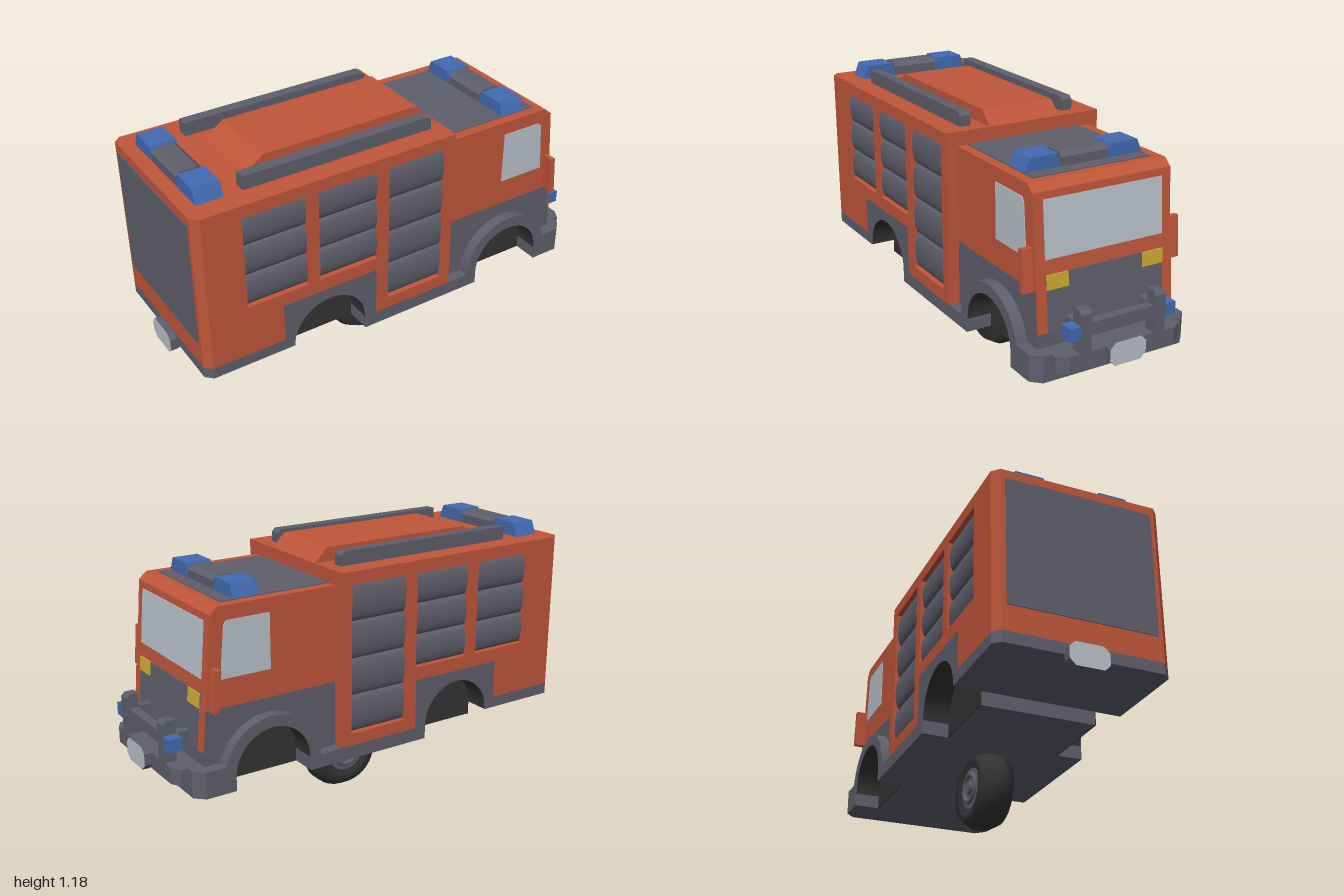
import * as THREE from 'three';

const mat = (name, color, side = THREE.FrontSide) => {
  const m = new THREE.MeshStandardMaterial({ color, side });
  m.name = name;
  return m;
};

export function createModel() {
  const root = new THREE.Group();
  root.name = 'fireTruck';
  const orange = mat('orange paint', 0xc0563a);
  const grey = mat('slate grey', 0x5f5f6d);
  const pale = mat('pale glass', 0xb9c2ca);
  const blue = mat('signal blue', 0x426bb2);
  const yellow = mat('headlight yellow', 0xcdaa34);
  const dark = mat('rubber black', 0x343434, THREE.DoubleSide);

  const add = (name, geo, material, parent = root) => {
    const m = new THREE.Mesh(geo, material);
    m.name = name;
    parent.add(m);
    return m;
  };
  // box given by its limits
  const box = (name, material, x0, x1, y0, y1, z0, z1) => {
    const g = new THREE.BoxGeometry(x1 - x0, y1 - y0, Math.abs(z1 - z0));
    g.translate((x0 + x1) / 2, (y0 + y1) / 2, (z0 + z1) / 2);
    return add(name, g, material);
  };
  const poly = (pts) => new THREE.Shape(pts.map((p) => new THREE.Vector2(p[0], p[1])));
  // side profile (x, y) extruded between two z values
  const slab = (name, material, shape, z0, z1) => {
    const g = new THREE.ExtrudeGeometry(shape, { depth: Math.abs(z1 - z0), bevelEnabled: false, curveSegments: 20 });
    g.translate(0, 0, Math.min(z0, z1));
    return add(name, g, material);
  };
  // half plan outline (x, z) mirrored in z and extruded between two heights
  const plan = (name, material, half, y0, y1) => {
    const pts = [...half, ...half.map(([x, z]) => [x, -z]).reverse()];
    const g = new THREE.ExtrudeGeometry(poly(pts), { depth: y1 - y0, bevelEnabled: false });
    g.rotateX(-Math.PI / 2).translate(0, y0, 0);
    return add(name, g, material);
  };

  // equipment body: core with chamfered rear corners
  const rear = [[-0.94, 0.34], [-0.94, 0.37], [-0.97, 0.34]];
  plan('bodyCore', orange, [[0.23, 0.34], ...rear], 0.585, 1.12);
  plan('bodyRearLower', orange, [[-0.61, 0.34], ...rear], 0.41, 0.585);
  box('bodyFrontLower', orange, -0.16, 0.23, 0.36, 0.585, -0.34, 0.34);
  plan('rearSill', grey, [[-0.61, 0.37], [-0.94, 0.37], [-0.97, 0.34]], 0.36, 0.41);
  box('rearDoor', grey, -0.974, -0.968, 0.52, 1.08, -0.32, 0.32);

  // chassis between the wheel wells
  box('chassisRear', grey, -0.62, -0.565, 0.36, 0.59, -0.25, 0.25);
  box('chassis', grey, -0.565, 0.23, 0.30, 0.59, -0.25, 0.25);
  slab('cabBase', grey, poly([[0.23, 0.30], [0.85, 0.30], [0.85, 0.47], [0.834, 0.645], [0.23, 0.645]]), -0.25, 0.25);

  const shutters = [[-0.77, -0.49, 0.645, 3], [-0.435, -0.155, 0.645, 3], [-0.10, 0.18, 0.415, 4]];
  const archCut = (shape, cx) => shape.absarc(cx, 0.36, 0.175, Math.PI, 0, true);

  for (const s of [1, -1]) {
    // side panel with shutter openings
    const panel = poly([[-0.94, 0.41], [-0.61, 0.41], [-0.61, 0.585], [-0.16, 0.585], [-0.16, 0.36],
      [0.23, 0.36], [0.23, 1.12], [-0.94, 1.12]]);
    for (const [x0, x1, y0] of shutters) {
      panel.holes.push(new THREE.Path([[x0, y0], [x0, 1.065], [x1, 1.065], [x1, y0]].map((p) => new THREE.Vector2(...p))));
    }
    slab('sidePanel', orange, panel, s * 0.34, s * 0.37);

    // rounded shutter slats
    for (const [x0, x1, y0, n] of shutters) {
      box('shutterBack', grey, x0, x1, y0, 1.065, s * 0.335, s * 0.343);
      const h = (1.065 - y0) / n;
      for (let i = 0; i < n; i++) {
        const g = new THREE.CylinderGeometry(1, 1, x1 - x0, 24).rotateZ(Math.PI / 2);
        g.scale(1, h / 2, 0.022).translate((x0 + x1) / 2, y0 + h * (i + 0.5), s * 0.342);
        add('shutterSlat', g, grey);
      }
    }

    // rear fender with arch, running on as the sill
    const fender = new THREE.Shape();
    fender.moveTo(-0.61, 0.36).lineTo(-0.565, 0.36);
    archCut(fender, -0.39);
    fender.lineTo(-0.215, 0.30).lineTo(0.23, 0.30).lineTo(0.23, 0.36).lineTo(-0.16, 0.36)
      .lineTo(-0.16, 0.585).lineTo(-0.61, 0.585);
    slab('rearFender', grey, fender, s * 0.25, s * 0.37);

    // lower cab side with arch
    const low = new THREE.Shape();
    low.moveTo(0.23, 0.30).lineTo(0.385, 0.30).lineTo(0.385, 0.36);
    archCut(low, 0.56);
    low.lineTo(0.735, 0.30).lineTo(0.85, 0.30).lineTo(0.85, 0.47).lineTo(0.834, 0.645).lineTo(0.23, 0.645);
    slab('cabLowerSide', grey, low, s * 0.25, s * 0.32);

    // front fender flare and step
    const flare = new THREE.Shape();
    flare.moveTo(0.23, 0.30).lineTo(0.385, 0.30).lineTo(0.385, 0.36);
    archCut(flare, 0.56);
    flare.lineTo(0.735, 0.30).lineTo(0.80, 0.30).lineTo(0.80, 0.415).lineTo(0.778, 0.415);
    flare.absarc(0.56, 0.36, 0.225, 0.247, Math.PI, false);
    flare.lineTo(0.23, 0.36);
    slab('frontFender', grey, flare, s * 0.32, s * 0.37);

    // dark wheel wells
    for (const cx of [-0.39, 0.56]) {
      box('wellWall', dark, cx - 0.175, cx + 0.175, 0.30, 0.36, s * 0.25, s * 0.254);
      const disc = new THREE.CircleGeometry(0.175, 24, 0, Math.PI).translate(cx, 0.36, s * 0.254);
      add('wellDisc', disc, dark);
      const lining = new THREE.CylinderGeometry(0.174, 0.174, 0.115, 24, 1, true, Math.PI / 2, Math.PI);
      lining.rotateX(Math.PI / 2).translate(cx, 0.36, s * 0.3095);
      add('wellLining', lining, dark);
    }

    // cab side window and mirror
    slab('sideWindow', pale, poly([[0.54, 0.765], [0.765, 0.765], [0.745, 0.985], [0.73, 1.0], [0.54, 1.0]]), s * 0.318, s * 0.324);
    slab('mirror', orange, poly([[0.785, 0.82], [0.807, 0.82], [0.822, 0.645], [0.80, 0.645]]), s * 0.315, s * 0.37);

    // roof rail
    slab('roofRail', grey, poly([[-0.71, 1.12], [0.17, 1.12], [0.17, 1.165], [0.155, 1.18], [-0.71, 1.18]]), s * 0.225, s * 0.275);

    // bull bar post, stay and signal lamp
    slab('bullBarPost', grey, poly([[0.91, 0.41], [0.965, 0.41], [0.965, 0.575], [0.95, 0.59], [0.91, 0.59]]), s * 0.15, s * 0.20);
    box('bullBarStay', grey, 0.84, 0.92, 0.48, 0.53, s * 0.155, s * 0.195);
    box('frontLamp', blue, 0.905, 0.965, 0.475, 0.53, s * 0.20, s * 0.25);
  }

  // cab upper shell and roof plate
  slab('cabShell', orange, poly([[0.23, 0.645], [0.834, 0.645], [0.80, 1.03], [0.765, 1.06], [0.23, 1.06]]), -0.32, 0.32);
  box('cabRoofPlate', grey, 0.232, 0.73, 1.056, 1.064, -0.275, 0.275);

  // thin plates on the sloped cab front
  const frontPlate = (name, material, y0, y1, z0, z1, lift = 0) => {
    const y = (y0 + y1) / 2;
    const m = add(name, new THREE.BoxGeometry(0.008, y1 - y0, z1 - z0), material);
    m.position.set(0.80 + (1.03 - y) * 0.0893 + lift, y, (z0 + z1) / 2);
    m.rotation.z = 0.089;
  };
  frontPlate('windshield', pale, 0.765, 1.0, -0.275, 0.275);
  frontPlate('grille', grey, 0.475, 0.705, -0.275, 0.275);
  for (const z of [-0.32, 0.275]) frontPlate('frontPillar', orange, 0.475, 0.66, z, z + 0.045);
  for (const z of [-0.275, 0.175]) frontPlate('headlight', yellow, 0.645, 0.705, z, z + 0.10, 0.003);

  // bumper, lip and crossbar
  plan('bumper', grey, [[0.79, -0.37], [0.87, -0.37], [0.91, -0.33]], 0.30, 0.415);
  plan('bumperLip', grey, [[0.90, -0.295], [0.94, -0.295], [0.965, -0.25]], 0.345, 0.415);
  box('bullBarCross', grey, 0.915, 0.955, 0.475, 0.53, -0.15, 0.15);

  // octagonal plates at both ends
  const octagon = (x, y, depth, dir) => {
    const a = 0.085, b = 0.05, c = 0.025;
    const g = new THREE.ExtrudeGeometry(poly([[-a, -b + c], [-a + c, -b], [a - c, -b], [a, -b + c],
      [a, b - c], [a - c, b], [-a + c, b], [-a, b - c]]), { depth, bevelEnabled: false });
    const m = add('endPlate', g, [pale, grey]);
    m.rotation.y = dir * Math.PI / 2;
    m.position.set(x, y, 0);
  };
  octagon(0.95, 0.393, 0.05, 1);
  octagon(-0.96, 0.358, 0.04, -1);

  // raised roof hatch
  slab('roofHatch', orange, poly([[-0.65, 1.12], [0.23, 1.12], [0.17, 1.18], [-0.56, 1.18]]), -0.17, 0.17);

  // light bars: grey middle, blue tapered ends
  for (const [x, y] of [[0.615, 1.06], [-0.85, 1.12]]) {
    const w = 0.058;
    slab('lightBarMiddle', grey, poly([[x - w, y], [x + w, y], [x + w, y + 0.04], [x + w - 0.02, y + 0.058],
      [x - w + 0.02, y + 0.058], [x - w, y + 0.04]]), -0.11, 0.11);
    for (const s of [1, -1]) {
      const g = new THREE.ExtrudeGeometry(poly([[0.108, 0], [0.275, 0], [0.25, 0.06], [0.125, 0.06]]),
        { depth: 2 * w, bevelEnabled: false });
      g.translate(0, 0, -w).rotateY(-s * Math.PI / 2).translate(x, y, 0);
      add('lightBarLamp', g, blue);
    }
  }

  // single wheel with hub on its rear face
  const wheel = new THREE.Group();
  wheel.name = 'wheel';
  wheel.position.y = 0.177;
  root.add(wheel);
  const tyre = [[0, -0.06], [0.095, -0.06], [0.11, -0.075], [0.148, -0.075], [0.177, -0.025],
    [0.177, 0.025], [0.148, 0.075], [0, 0.075]].map((p) => new THREE.Vector2(...p));
  add('tyre', new THREE.LatheGeometry(tyre, 32).rotateX(Math.PI / 2), dark, wheel);
  add('rim', new THREE.CylinderGeometry(0.09, 0.09, 0.012, 24).rotateX(Math.PI / 2).translate(0, 0, -0.06), grey, wheel);
  add('rimRing', new THREE.TorusGeometry(0.06, 0.012, 8, 24).translate(0, 0, -0.068), grey, wheel);
  add('hubCap', new THREE.CylinderGeometry(0.03, 0.03, 0.03, 12).rotateX(Math.PI / 2).translate(0, 0, -0.066), grey, wheel);

  return root;
}
